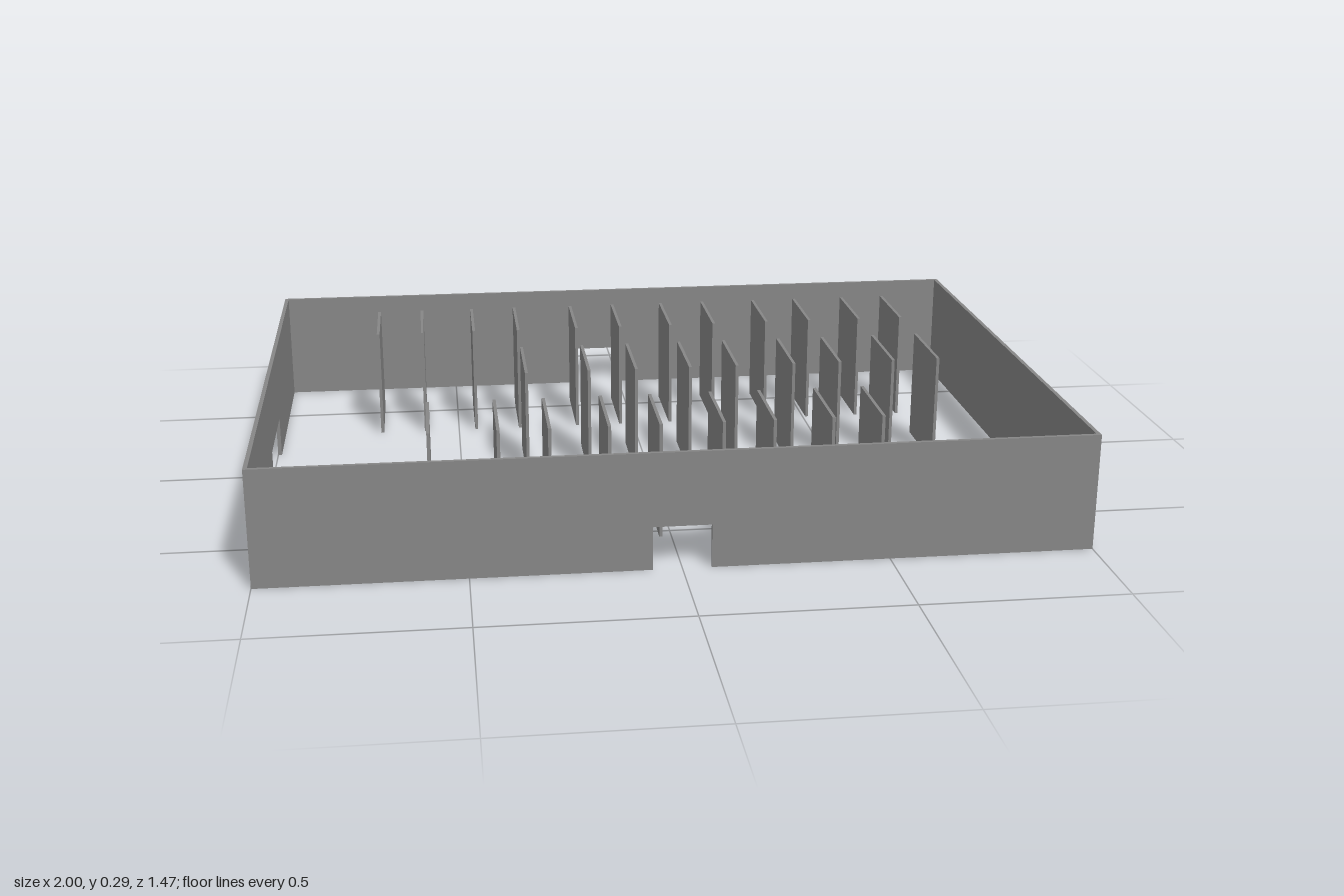
import * as THREE from 'three';

const HEIGHT = 0.292, HALF_X = 1, HALF_Z = 0.735;
const WALL = 0.01, PANEL = 0.008, NOTCH = 0.108;
const material = new THREE.MeshStandardMaterial({ color: 0x878787 });

// Upright wall along its own x, with an optional notch in the bottom edge
function makeWall(name, half, notch) {
  const shape = new THREE.Shape();
  shape.moveTo(-half, 0);
  if (notch) {
    shape.lineTo(notch[0], 0);
    shape.lineTo(notch[0], NOTCH);
    shape.lineTo(notch[1], NOTCH);
    shape.lineTo(notch[1], 0);
  }
  shape.lineTo(half, 0);
  shape.lineTo(half, HEIGHT);
  shape.lineTo(-half, HEIGHT);
  shape.closePath();
  const geometry = new THREE.ExtrudeGeometry(shape, { depth: WALL, bevelEnabled: false });
  geometry.translate(0, 0, -WALL / 2);
  const wall = new THREE.Mesh(geometry, material);
  wall.name = name;
  return wall;
}

export function createModel() {
  const model = new THREE.Group();
  model.name = 'dividerFrame';

  // Outer frame: front, back and right walls are notched, the left is plain
  const front = makeWall('frontWall', HALF_X, [-0.07, 0.07]);
  front.position.z = HALF_Z - WALL / 2;
  const back = makeWall('backWall', HALF_X, [-0.127, 0.01]);
  back.position.z = -HALF_Z + WALL / 2;
  const right = makeWall('rightWall', HALF_Z - WALL, [-0.11, 0.165]);
  right.rotation.y = Math.PI / 2;
  right.position.x = -HALF_X + WALL / 2;
  const left = makeWall('leftWall', HALF_Z - WALL);
  left.rotation.y = Math.PI / 2;
  left.position.x = HALF_X - WALL / 2;
  model.add(front, back, right, left);

  // Three rows of free-standing upright panels
  const shared = [-0.325, -0.16, -0.035, 0.109, 0.234, 0.387, 0.512, 0.657, 0.78];
  const rows = [
    { name: 'backPanels', z: -0.438, xs: [-0.717, -0.594, -0.45, ...shared] },
    { name: 'middlePanels', z: -0.031, xs: shared },
    { name: 'frontPanels', z: 0.418, xs: [-0.584, -0.418, -0.295, -0.151, -0.026, 0.128, 0.253, 0.398, 0.522] },
  ];
  const panelGeometry = new THREE.BoxGeometry(PANEL, HEIGHT, 0.236);
  for (const { name, z, xs } of rows) {
    const row = new THREE.Group();
    row.name = name;
    for (const x of xs) {
      const panel = new THREE.Mesh(panelGeometry, material);
      panel.name = 'panel';
      panel.position.set(x, HEIGHT / 2, z);
      row.add(panel);
    }
    model.add(row);
  }
  return model;
}
